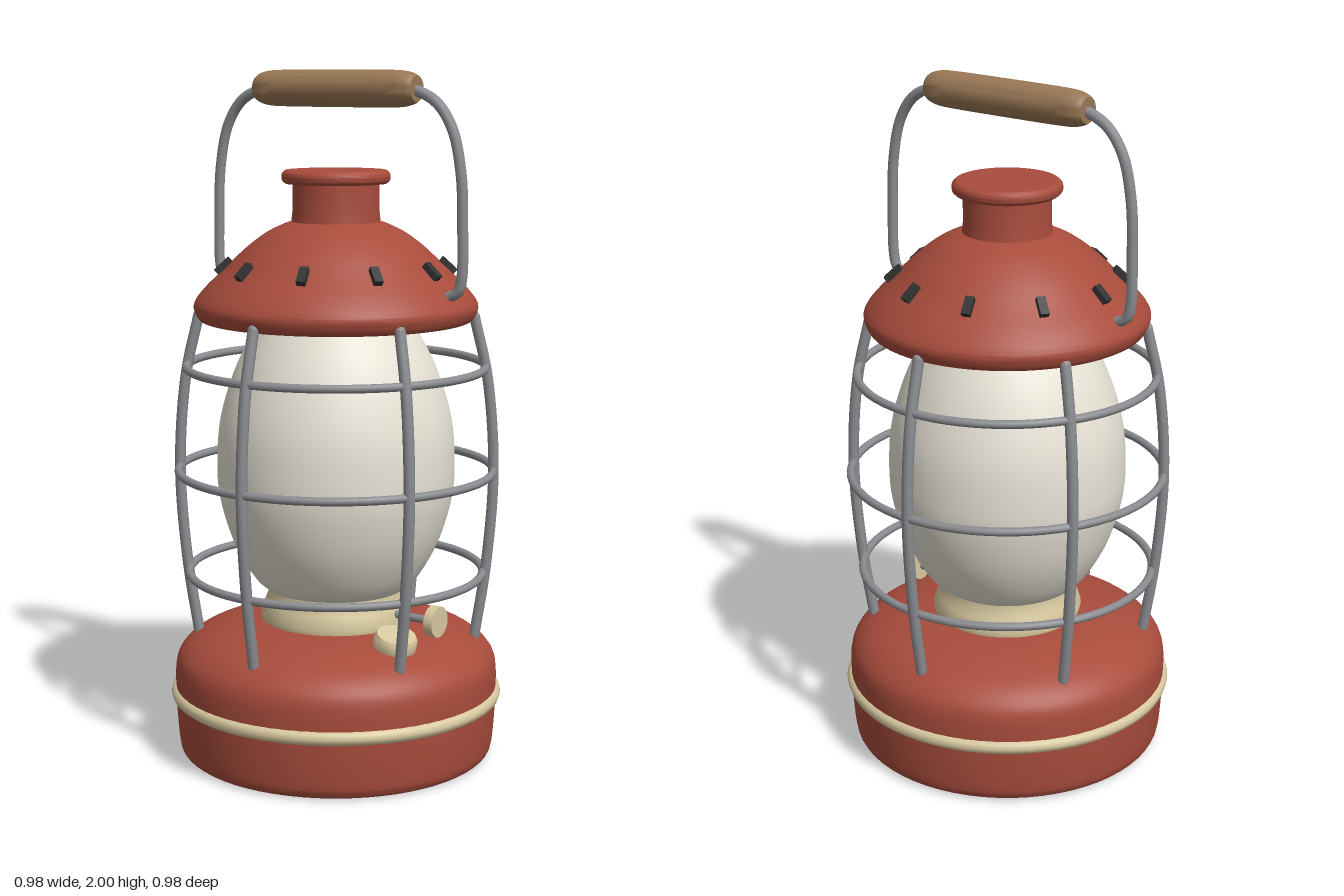
import * as THREE from 'three';
import { toCreasedNormals } from 'three/addons/utils/BufferGeometryUtils.js';

const paint = (color) => new THREE.MeshStandardMaterial({ color });
const RED = paint(0xa84c3c), CREAM = paint(0xd8c9a0), GLASS = paint(0xe8e3d6);
const STEEL = paint(0x8a8c90), WOOD = paint(0x9a7856), DARK = paint(0x333333);

const v2 = (pts) => pts.map(([x, y]) => new THREE.Vector2(x, y));
const v3 = (pts) => pts.map(([x, y, z = 0]) => new THREE.Vector3(x, y, z));
const smooth = (pts, n) => new THREE.SplineCurve(v2(pts)).getPoints(n).map((p) => [p.x, p.y]);

export function createModel() {
  const model = new THREE.Group();
  model.name = 'lantern';

  function add(name, geometry, material, parent = model) {
    const mesh = new THREE.Mesh(geometry, material);
    mesh.name = name;
    parent.add(mesh);
    return mesh;
  }
  function turned(name, pts, material, parent, segments = 64) {
    const geo = new THREE.LatheGeometry(v2(pts), segments);
    return add(name, toCreasedNormals(geo, 0.6), material, parent);
  }
  function ring(name, radius, tube, y, material) {
    const mesh = add(name, new THREE.TorusGeometry(radius, tube, 10, 72), material);
    mesh.rotation.x = Math.PI / 2;
    mesh.position.y = y;
    return mesh;
  }
  // Wire along a smooth path, with round ends
  function wire(name, pts, radius, parent = model) {
    const path = v3(pts);
    const curve = new THREE.CatmullRomCurve3(path);
    add(name, new THREE.TubeGeometry(curve, 40, radius, 10), STEEL, parent);
    for (const end of [path[0], path[path.length - 1]]) {
      add(name + 'End', new THREE.SphereGeometry(radius, 10, 8), STEEL, parent).position.copy(end);
    }
  }

  // Fuel tank base with its trim band
  turned('base', [
    [0, 0], [0.435, 0],
    ...smooth([[0.445, 0.002], [0.462, 0.02], [0.47, 0.08], [0.475, 0.18], [0.474, 0.27],
      [0.455, 0.315], [0.41, 0.352], [0.34, 0.38], [0.25, 0.4], [0.18, 0.405]], 36),
    [0, 0.405],
  ], RED);
  ring('trimBand', 0.467, 0.022, 0.185, CREAM);

  // Burner collar under the globe
  turned('burnerCollar', [
    [0.2, 0.39], [0.218, 0.4], [0.222, 0.42], [0.21, 0.455], [0.2, 0.48], [0.2, 0.5], [0, 0.5],
  ], CREAM);

  // Filler cap, leaning outward on the tank's shoulder
  const filler = new THREE.Group();
  filler.name = 'fillerCap';
  filler.position.set(0.28, 0.365, 0.12);
  filler.quaternion.setFromUnitVectors(new THREE.Vector3(0, 1, 0),
    new THREE.Vector3(0.23, 1, 0.1).normalize());
  model.add(filler);
  turned('cap', [[0, 0], [0.055, 0], [0.062, 0.015], [0.062, 0.05], [0.056, 0.06], [0, 0.06]],
    CREAM, filler, 28);

  // Wick knob on its stem
  const knob = new THREE.Group();
  knob.name = 'wickKnob';
  knob.position.set(0.15, 0.44, 0);
  knob.rotation.z = -Math.PI / 2;
  model.add(knob);
  add('stem', new THREE.CylinderGeometry(0.012, 0.012, 0.19, 12), STEEL, knob).position.y = 0.095;
  add('dial', toCreasedNormals(new THREE.CylinderGeometry(0.045, 0.045, 0.028, 24), 0.6),
    CREAM, knob).position.y = 0.195;

  // Globe
  turned('globe', [
    [0, 0.49],
    ...smooth([[0.19, 0.49], [0.24, 0.53], [0.302, 0.64], [0.34, 0.77], [0.347, 0.88],
      [0.335, 1.01], [0.287, 1.16], [0.215, 1.29], [0.15, 1.37]], 40),
    [0, 1.38],
  ], GLASS);

  // Roof: hollow underside, rolled rim, sloping shoulder, chimney and its lid
  turned('roof', [
    [0, 1.53], [0.16, 1.52], [0.25, 1.45], [0.34, 1.36], [0.365, 1.31], [0.37, 1.29],
    ...smooth([[0.38, 1.288], [0.397, 1.295], [0.41, 1.325], [0.403, 1.35], [0.37, 1.39],
      [0.32, 1.437], [0.26, 1.495], [0.2, 1.54], [0.145, 1.567]], 36),
    [0.128, 1.572], [0.125, 1.6], [0.125, 1.68],
    ...smooth([[0.145, 1.68], [0.155, 1.69], [0.155, 1.708], [0.145, 1.718]], 12),
    [0, 1.718],
  ], RED);

  // Ten vents around the roof
  for (let i = 0; i < 10; i++) {
    const vent = new THREE.Group();
    vent.name = 'vent';
    vent.rotation.y = ((18 + 36 * i) * Math.PI) / 180;
    model.add(vent);
    const slot = add('ventSlot', new THREE.BoxGeometry(0.025, 0.03, 0.055), DARK, vent);
    slot.position.set(0, 1.441, 0.32);
    slot.rotation.x = 0.74;
  }

  // Guard cage: six bowed bars and three hoops
  for (let i = 0; i < 6; i++) {
    const bar = new THREE.Group();
    bar.name = 'guardBar';
    bar.rotation.y = (i * Math.PI) / 3;
    model.add(bar);
    wire('bar', [[0, 0.35, 0.41], [0, 0.57, 0.442], [0, 0.85, 0.46], [0, 1.12, 0.44], [0, 1.3, 0.4]],
      0.016, bar);
  }
  ring('lowerHoop', 0.432, 0.012, 0.547, STEEL);
  ring('middleHoop', 0.46, 0.012, 0.85, STEEL);
  ring('upperHoop', 0.434, 0.012, 1.154, STEEL);

  // Carrying handle: two mirrored wires and a wooden grip
  for (const s of [-1, 1]) {
    wire(s > 0 ? 'leftHandleWire' : 'rightHandleWire', [
      [0.36 * s, 1.37], [0.408 * s, 1.392], [0.42 * s, 1.43], [0.421 * s, 1.58], [0.414 * s, 1.72],
      [0.385 * s, 1.84], [0.335 * s, 1.91], [0.27 * s, 1.942], [0.2 * s, 1.948],
    ], 0.0155);
  }
  const half = smooth([[0.036, 0.27], [0.044, 0.255], [0.051, 0.215], [0.0525, 0.1]], 12);
  const grip = turned('grip', [
    [0, -0.27], ...half.map(([r, y]) => [r, -y]), ...half.slice().reverse(), [0, 0.27],
  ], WOOD, model, 32);
  grip.rotation.z = Math.PI / 2;
  grip.position.y = 1.9475;

  return model;
}
